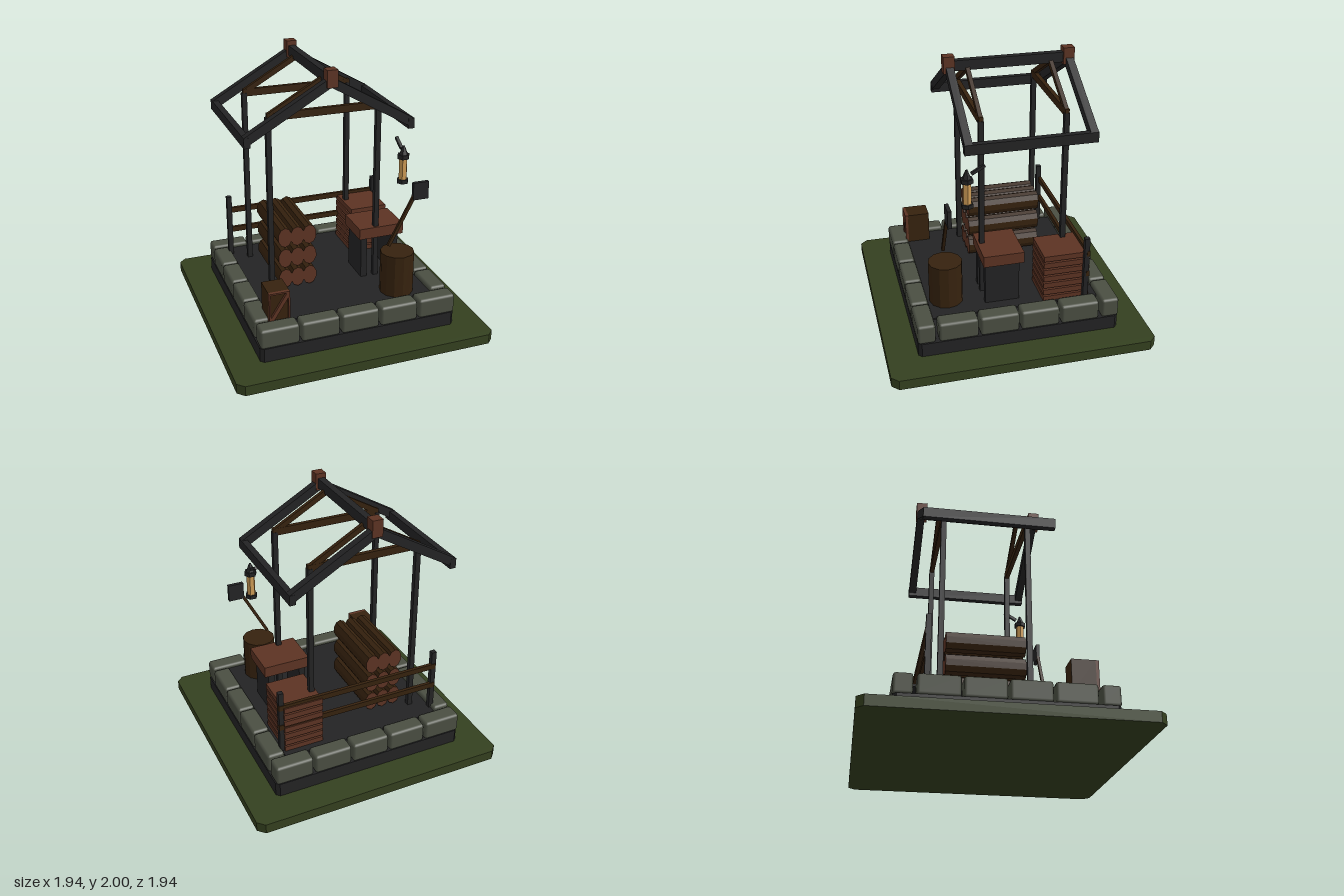
import * as THREE from 'three';
import { RoundedBoxGeometry } from 'three/addons/geometries/RoundedBoxGeometry.js';

const mat = (name, color) => {
  const m = new THREE.MeshStandardMaterial({ color });
  m.name = name;
  return m;
};

export function createModel() {
  const root = new THREE.Group();
  root.name = 'woodcutterShelter';
  const grass = mat('grass', 0x34401f);
  const stone = mat('stone', 0x4a4e42);
  const iron = mat('charcoal', 0x232324);
  const bark = mat('darkWood', 0x36220e);
  const wood = mat('redWood', 0x5c3323);
  const glow = mat('lampGlow', 0xcc9a55);

  const group = (name) => {
    const g = new THREE.Group();
    g.name = name;
    root.add(g);
    return g;
  };
  const add = (parent, name, geo, material, x = 0, y = 0, z = 0) => {
    const m = new THREE.Mesh(geo, material);
    m.name = name;
    m.position.set(x, y, z);
    parent.add(m);
    return m;
  };
  // Box given by its limits on each axis
  const box = (parent, name, material, x0, x1, y0, y1, z0, z1) =>
    add(parent, name, new THREE.BoxGeometry(x1 - x0, y1 - y0, z1 - z0), material,
      (x0 + x1) / 2, (y0 + y1) / 2, (z0 + z1) / 2);
  // Outline in x/y extruded between two z values
  const extrude = (points, z0, z1) =>
    new THREE.ExtrudeGeometry(new THREE.Shape(points.map(([x, y]) => new THREE.Vector2(x, y))),
      { depth: z1 - z0, bevelEnabled: false }).translate(0, 0, z0);
  // Square slab with cut corners
  const slab = (name, material, r, c, y0, y1) => {
    const k = r - c;
    const pts = [[r, -k], [r, k], [k, r], [-k, r], [-r, k], [-r, -k], [-k, -r], [k, -r]];
    add(root, name, extrude(pts, y0, y1).rotateX(-Math.PI / 2), material);
  };

  // Ground and foundation
  slab('grassBase', grass, 0.97, 0.05, 0, 0.075);
  slab('foundation', iron, 0.745, 0.025, 0.075, 0.18);
  box(root, 'floor', iron, -0.615, 0.615, 0.282, 0.295, -0.615, 0.615);

  // Stone border: five on the front and back, four on each side
  const border = group('stoneBorder');
  for (const s of [-1, 1]) {
    for (let i = 0; i < 5; i++)
      add(border, 'borderStone', new RoundedBoxGeometry(0.286, 0.147, 0.13, 1, 0.02), stone,
        (i - 2) * 0.3, 0.2515, s * 0.682);
    for (let i = 0; i < 4; i++)
      add(border, 'borderStone', new RoundedBoxGeometry(0.13, 0.147, 0.286, 1, 0.02), stone,
        s * 0.682, 0.2515, (i - 1.5) * 0.3);
  }

  // Roof frame: posts, tie beams and inner rafters
  const frame = group('roofFrame');
  const ridgeX = -0.08;
  for (const z of [0.19, -0.425]) {
    for (const x of [-0.49, 0.335])
      box(frame, 'post', iron, x - 0.019, x + 0.019, 0.29, 1.66, z - 0.019, z + 0.019);
    box(frame, 'tieBeam', bark, -0.5, 0.35, 1.635, 1.69, z - 0.016, z + 0.016);
    for (const s of [-1, 1]) {
      const a = ridgeX + s * 0.42;
      const pts = [[ridgeX, 1.925], [a, 1.685], [a, 1.64], [ridgeX, 1.88]];
      add(frame, 'innerRafter', extrude(s < 0 ? pts : pts.reverse(), z - 0.015, z + 0.015), bark);
    }
  }
  // Outer rafters, ridge blocks and long beams
  for (const z of [0.32, -0.562]) {
    const pts = [[ridgeX, 1.945], [-0.705, 1.585], [-0.705, 1.51], [ridgeX, 1.872],
      [0.548, 1.51], [0.548, 1.585]];
    add(frame, 'rafter', extrude(pts, z - 0.028, z + 0.028), iron);
    box(frame, 'ridgeBlock', wood, -0.118, -0.04, 1.875, 2, z - 0.035, z + 0.047);
  }
  box(frame, 'ridgeBeam', iron, -0.106, -0.054, 1.89, 1.965, -0.58, 0.33);
  for (const x of [-0.684, 0.527])
    box(frame, 'eavesBeam', iron, x - 0.023, x + 0.023, 1.51, 1.585, -0.592, 0.35);

  // Log stack
  const logs = group('logStack');
  const logGeo = new THREE.CylinderGeometry(1, 1, 0.56, 10).toNonIndexed();
  logGeo.rotateX(Math.PI / 2).scale(0.055, 0.077, 1);
  logGeo.computeVertexNormals();
  for (let row = 0; row < 3; row++)
    for (let col = 0; col < 3; col++)
      add(logs, 'log', logGeo, [bark, wood, wood],
        -0.377 + col * 0.094, 0.378 + row * 0.168, -0.1);

  // Back fence
  const fence = group('fence');
  for (const x of [-0.62, 0.611])
    box(fence, 'fencePost', iron, x - 0.019, x + 0.019, 0.29, 0.795, -0.54, -0.503);
  for (const y of [0.505, 0.673])
    box(fence, 'fenceRail', bark, -0.635, 0.632, y - 0.021, y + 0.021, -0.545, -0.52);

  // Stack of boards
  const boards = group('boardStack');
  for (let i = 0; i < 7; i++) {
    const y = 0.29 + i * 0.0562;
    box(boards, 'board', wood, 0.3, 0.596, y, y + 0.042, -0.555, -0.21);
  }

  // Workbench on two side panels
  const bench = group('workbench');
  box(bench, 'benchTop', wood, 0.195, 0.55, 0.62, 0.705, -0.075, 0.225);
  for (const x of [0.215, 0.467])
    box(bench, 'benchPanel', iron, x, x + 0.048, 0.295, 0.62, -0.047, 0.207);

  // Chopping block
  const block = new THREE.CylinderGeometry(0.125, 0.125, 0.325, 12).toNonIndexed();
  block.computeVertexNormals();
  add(root, 'choppingBlock', block, bark, 0.39, 0.4575, 0.475);

  // Leaning tool
  const tool = group('tool');
  const handle = add(tool, 'toolHandle', new THREE.BoxGeometry(0.024, 0.46, 0.022), bark, 0.424, 0.875, 0.475);
  handle.rotation.z = -Math.atan2(0.21, 0.4);
  box(tool, 'toolHead', iron, 0.497, 0.617, 1.01, 1.143, 0.461, 0.489);

  // Small crate with braced front
  const crate = group('crate');
  box(crate, 'crateBody', bark, -0.643, -0.49, 0.295, 0.535, 0.44, 0.61);
  const zf = [0.605, 0.632];
  for (const x of [-0.643, -0.502]) box(crate, 'crateUpright', wood, x, x + 0.012, 0.295, 0.535, ...zf);
  for (const y of [0.295, 0.523]) box(crate, 'crateRail', wood, -0.643, -0.49, y, y + 0.012, ...zf);
  add(crate, 'crateBrace',
    extrude([[-0.643, 0.295], [-0.625, 0.295], [-0.49, 0.505], [-0.49, 0.53], [-0.508, 0.53], [-0.643, 0.32]], ...zf), wood);

  // Six-sided lantern and its arm
  const lantern = group('lantern');
  const hex = (name, material, r0, r1, y0, y1) => {
    const g = new THREE.CylinderGeometry(r1, r0, y1 - y0, 6).toNonIndexed().rotateY(Math.PI / 2);
    g.computeVertexNormals();
    add(lantern, name, g, material, 0.484, (y0 + y1) / 2, 0.325);
  };
  hex('lanternFoot', iron, 0.045, 0.045, 1.09, 1.12);
  hex('lanternGlass', glow, 0.032, 0.032, 1.12, 1.28);
  hex('lanternRim', iron, 0.047, 0.047, 1.28, 1.312);
  hex('lanternCap', iron, 0.034, 0.008, 1.312, 1.375);
  const arm = add(lantern, 'lanternArm', new THREE.BoxGeometry(0.022, 0.022, 0.11), iron, 0.484, 1.37, 0.245);
  arm.rotation.x = Math.atan2(0.055, 0.095);

  return root;
}
